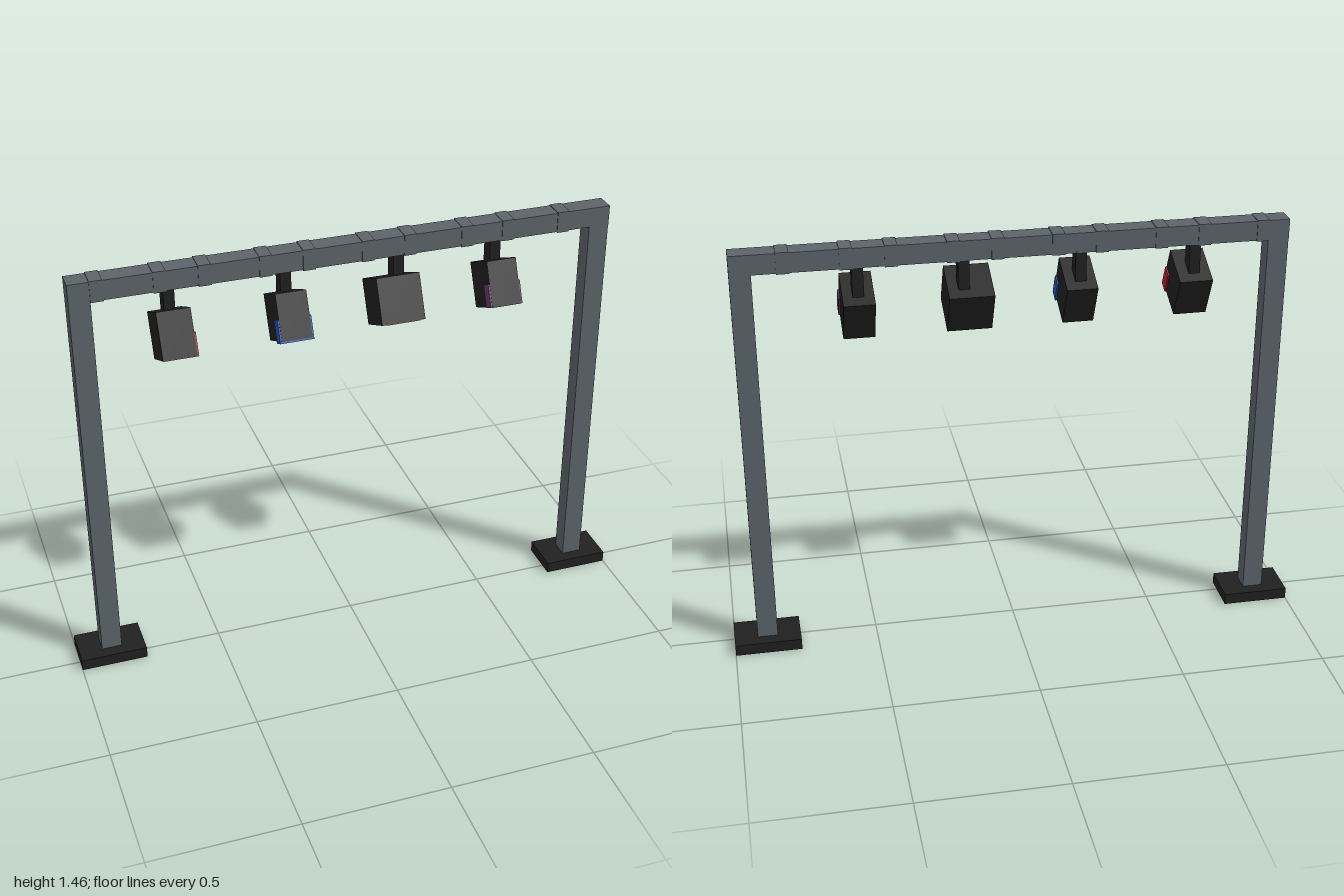
import * as THREE from 'three';

const material = (name, color) => {
  const m = new THREE.MeshStandardMaterial({ color });
  m.name = name;
  return m;
};

export function createModel() {
  const steel = material('steel grey', 0x5c656b);
  const black = material('matt black', 0x202020);
  const red = material('red lens', 0xb8202c);
  const blue = material('blue lens', 0x2458b8);
  const purple = material('purple lens', 0x6c3a70);

  const model = new THREE.Group();
  model.name = 'lightingTruss';
  const frameZ = -0.029;

  const box = (parent, name, mat, size, pos) => {
    const mesh = new THREE.Mesh(new THREE.BoxGeometry(...size), mat);
    mesh.name = name;
    mesh.position.set(...pos);
    parent.add(mesh);
    return mesh;
  };

  // Posts standing on base plates
  for (const side of [-1, 1]) {
    box(model, 'basePlate', black, [0.23, 0.04, 0.15], [side * 0.885, 0.02, frameZ]);
    box(model, 'post', steel, [0.07, 1.36, 0.064], [side * 0.885, 0.72, frameZ]);
  }

  // Cross beam with thin paired collars
  box(model, 'crossBeam', steel, [1.84, 0.068, 0.068], [0, 1.427, frameZ]);
  for (let i = 0; i < 5; i++) {
    for (const offset of [0, 0.2]) {
      box(model, 'beamCollar', steel, [0.042, 0.073, 0.073], [-0.83 + i * 0.345 + offset, 1.427, frameZ]);
    }
  }

  // Hanging spotlights: position, housing width, lens colour, lens shift in x and y
  const lamps = [
    { x: -0.6, width: 0.112, lens: red, dx: 0.004, dy: -0.002 },
    { x: -0.215, width: 0.104, lens: blue, dx: 0, dy: -0.006 },
    { x: 0.15, width: 0.15, lens: red, dx: 0, dy: -0.002 },
    { x: 0.515, width: 0.104, lens: purple, dx: 0, dy: 0.001 },
  ];
  for (const { x, width, lens, dx, dy } of lamps) {
    const hangerX = width > 0.14 ? x + 0.022 : x;
    box(model, 'hanger', black, [0.037, 0.15, 0.05], [hangerX, 1.325, -0.038]);

    const lamp = new THREE.Group();
    lamp.name = 'spotlight';
    lamp.position.set(x, 1.239, 0.004);
    lamp.rotation.x = -0.436;
    box(lamp, 'housing', black, [width, 0.155, 0.15], [0, 0, 0]);
    // Lens block set into the lower front of the housing
    box(lamp, 'lens', lens, [0.114, 0.078, 0.042], [dx, -0.0385 + dy, 0.053]);
    model.add(lamp);
  }
  return model;
}
